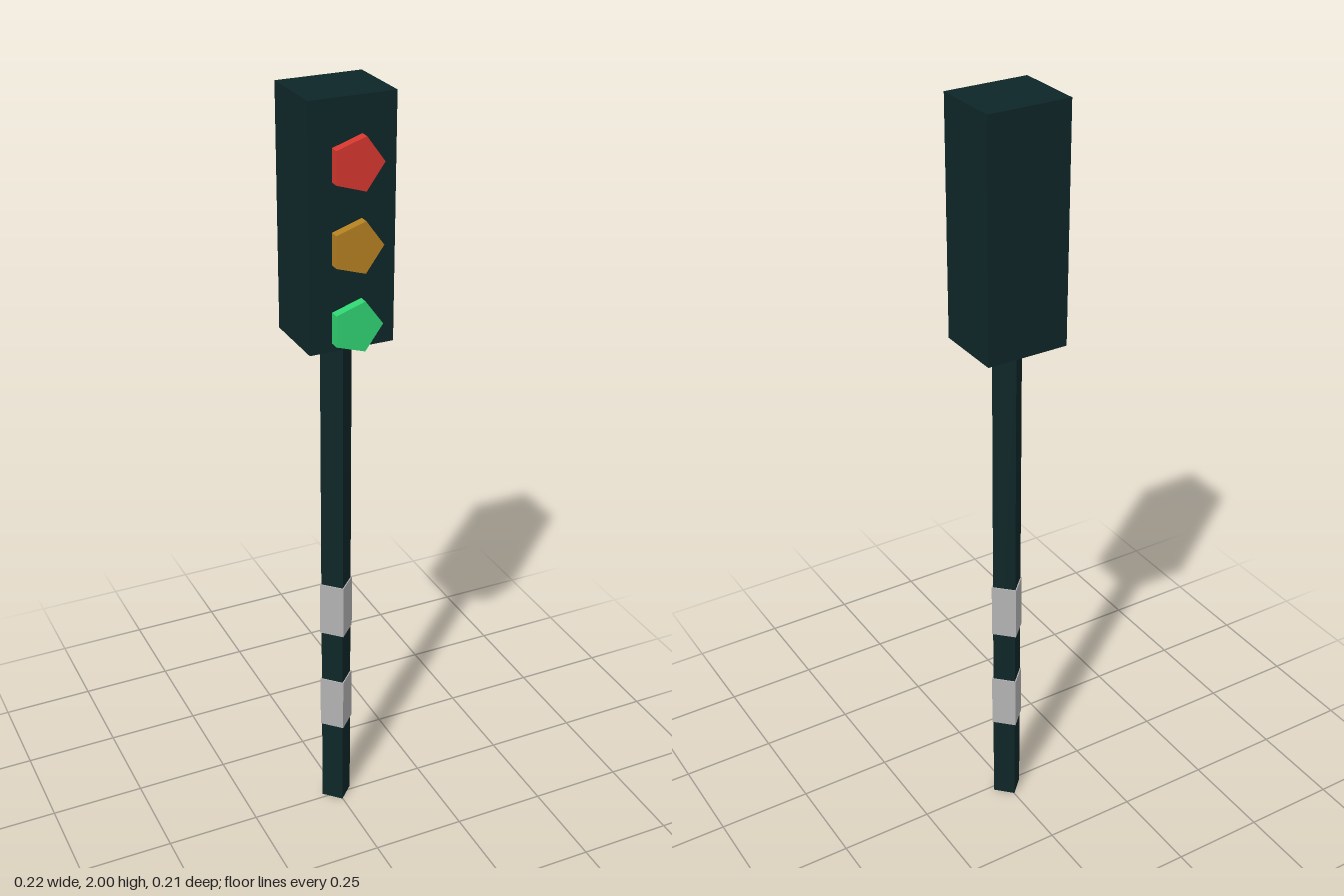
import * as THREE from 'three';

const paint = (name, color) => {
  const m = new THREE.MeshStandardMaterial({ color });
  m.name = name;
  return m;
};

export function createModel() {
  const group = new THREE.Group();
  group.name = 'trafficLight';

  const dark = paint('darkTeal', 0x0e2628);
  const grey = paint('grey', 0xb2b2b2);
  const red = paint('red', 0xd4372f);
  const amber = paint('amber', 0xb38022);
  const green = paint('green', 0x30d272);

  const add = (name, geometry, material, x, y, z) => {
    const flat = geometry.toNonIndexed();
    flat.computeVertexNormals(); // faceted look
    const mesh = new THREE.Mesh(flat, material);
    mesh.name = name;
    mesh.position.set(x, y, z);
    group.add(mesh);
  };

  // Four-sided pole, corner to the front, with two wrapped bands
  const poleX = -0.001, poleZ = -0.013;
  add('pole', new THREE.CylinderGeometry(0.042, 0.042, 1.42, 4), dark, poleX, 0.71, poleZ);
  for (const [name, y] of [['lowerBand', 0.325], ['upperBand', 0.625]]) {
    add(name, new THREE.CylinderGeometry(0.046, 0.046, 0.15, 4), grey, poleX, y, poleZ);
  }

  // Signal housing
  add('housing', new THREE.BoxGeometry(0.216, 0.6, 0.182), dark, 0, 1.7, -0.016);

  // Five-sided lamps, one corner towards +x, standing just clear of the housing
  const lamps = [['redLamp', red, 1.852], ['amberLamp', amber, 1.657], ['greenLamp', green, 1.463]];
  for (const [name, material, y] of lamps) {
    const lamp = new THREE.CylinderGeometry(0.0663, 0.0663, 0.024, 5)
      .rotateX(Math.PI / 2)
      .rotateZ(Math.PI / 2);
    add(name, lamp, material, 0, y, 0.093);
  }
  return group;
}
